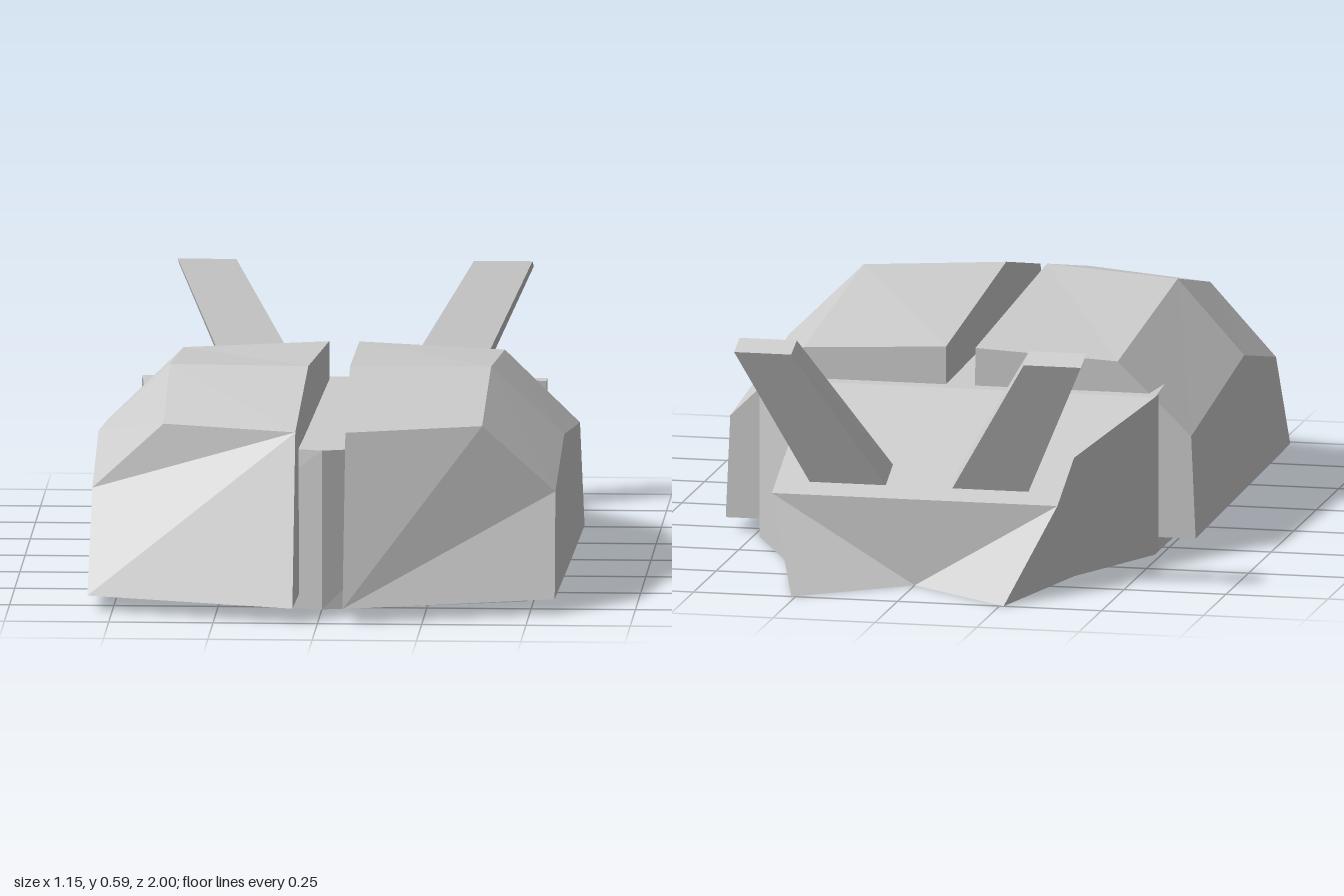
import * as THREE from 'three';

const shellGrey = new THREE.MeshStandardMaterial({ color: 0xcccccc, flatShading: true });
shellGrey.name = 'light grey';

// Faceted mesh from polygons (lists of points, counter-clockwise seen from outside).
function facetedMesh(name, polygons) {
  const pos = [];
  for (const p of polygons)
    for (let i = 1; i < p.length - 1; i++) pos.push(...p[0], ...p[i], ...p[i + 1]);
  const geometry = new THREE.BufferGeometry();
  geometry.setAttribute('position', new THREE.Float32BufferAttribute(pos, 3));
  geometry.computeVertexNormals();
  const mesh = new THREE.Mesh(geometry, shellGrey);
  mesh.name = name;
  return mesh;
}

// Mirror polygons across x = 0, keeping them facing outward.
const mirrored = (polygons) =>
  polygons.map((p) => p.map(([x, y, z]) => [-x, y, z]).reverse());

// Join matching rings of points into a closed solid; the first ring faces outward.
function loft(rings) {
  const polygons = [rings[0], [...rings[rings.length - 1]].reverse()];
  for (let r = 0; r < rings.length - 1; r++) {
    const a = rings[r], b = rings[r + 1], n = a.length;
    for (let i = 0; i < n; i++) {
      const j = (i + 1) % n;
      polygons.push([a[i], b[i], b[j], a[j]]);
    }
  }
  return polygons;
}

// Half of the body: pointed front under the shells, tapering notched tail.
function bodyHalf() {
  const noseLow = [0, 0, 0.785], noseTop = [0, 0.385, 0.785];
  const frontLow = [0.485, 0, 0.64], frontTop = [0.42, 0.385, 0.64];
  const seamLow = [0.485, 0, -0.3], seamIn = [0.42, 0.385, -0.3], seamTop = [0.485, 0.385, -0.3];
  const ridgeLow = [0.485, 0, -0.34], ridgeTop = [0.485, 0.385, -0.34], ridgeMid = [0, 0.385, -0.34];
  const waistLow = [0.35, 0, -0.625], waistTop = [0.35, 0.29, -0.625], waistMid = [0, 0.29, -0.625];
  const tailTop = [0.35, 0.21, -0.81], tailMid = [0, 0.21, -0.81];
  const tip = [0.26, 0, -1], notch = [0, 0, -0.81];
  return [
    [noseLow, notch, tip, waistLow, ridgeLow, seamLow, frontLow], // underside
    [noseLow, frontLow, frontTop, noseTop],
    [frontLow, seamLow, seamIn, frontTop],
    [seamLow, seamTop, seamIn],
    [seamLow, ridgeLow, ridgeTop, seamTop],
    [ridgeLow, waistLow, waistTop, ridgeTop],
    [waistLow, tip, tailTop, waistTop],
    [tip, notch, tailTop],
    [notch, tailMid, tailTop],
    [ridgeMid, noseTop, frontTop, seamIn, seamTop, ridgeTop], // top
    [waistMid, ridgeMid, ridgeTop, waistTop],
    [tailMid, waistMid, waistTop, tailTop],
  ];
}

// Rings run front to back: inner bottom, outer bottom, shoulder, outer top, inner top.
const shell = loft([
  [[0.06, 0.035, 0.995], [0.56, 0.035, 0.82], [0.555, 0.275, 0.685], [0.382, 0.44, 0.738], [0.06, 0.44, 0.855]],
  [[0.048, 0.035, 0.43], [0.568, 0.035, 0.32], [0.558, 0.355, 0.32], [0.385, 0.525, 0.365], [0.05, 0.533, 0.43]],
  [[0.033, 0.035, -0.3], [0.576, 0.035, -0.3], [0.565, 0.285, -0.3], [0.385, 0.46, -0.3], [0.036, 0.477, -0.3]],
]);

// Slanted horn with a rectangular section, from tip down to its root in the tail.
const horn = loft([
  [[0.285, 0.59, -0.828], [0.425, 0.59, -0.828], [0.425, 0.568, -0.89], [0.285, 0.568, -0.89]].reverse(),
  [[0.075, 0.255, -0.677], [0.263, 0.255, -0.677], [0.263, 0.22, -0.757], [0.075, 0.22, -0.757]].reverse(),
].map((ring) => ring.reverse()));

export function createModel() {
  const model = new THREE.Group();
  model.name = 'beetle';
  const half = bodyHalf();
  model.add(
    facetedMesh('body', [...half, ...mirrored(half)]),
    facetedMesh('leftShell', shell),
    facetedMesh('rightShell', mirrored(shell)),
    facetedMesh('leftHorn', horn),
    facetedMesh('rightHorn', mirrored(horn)),
  );
  return model;
}
